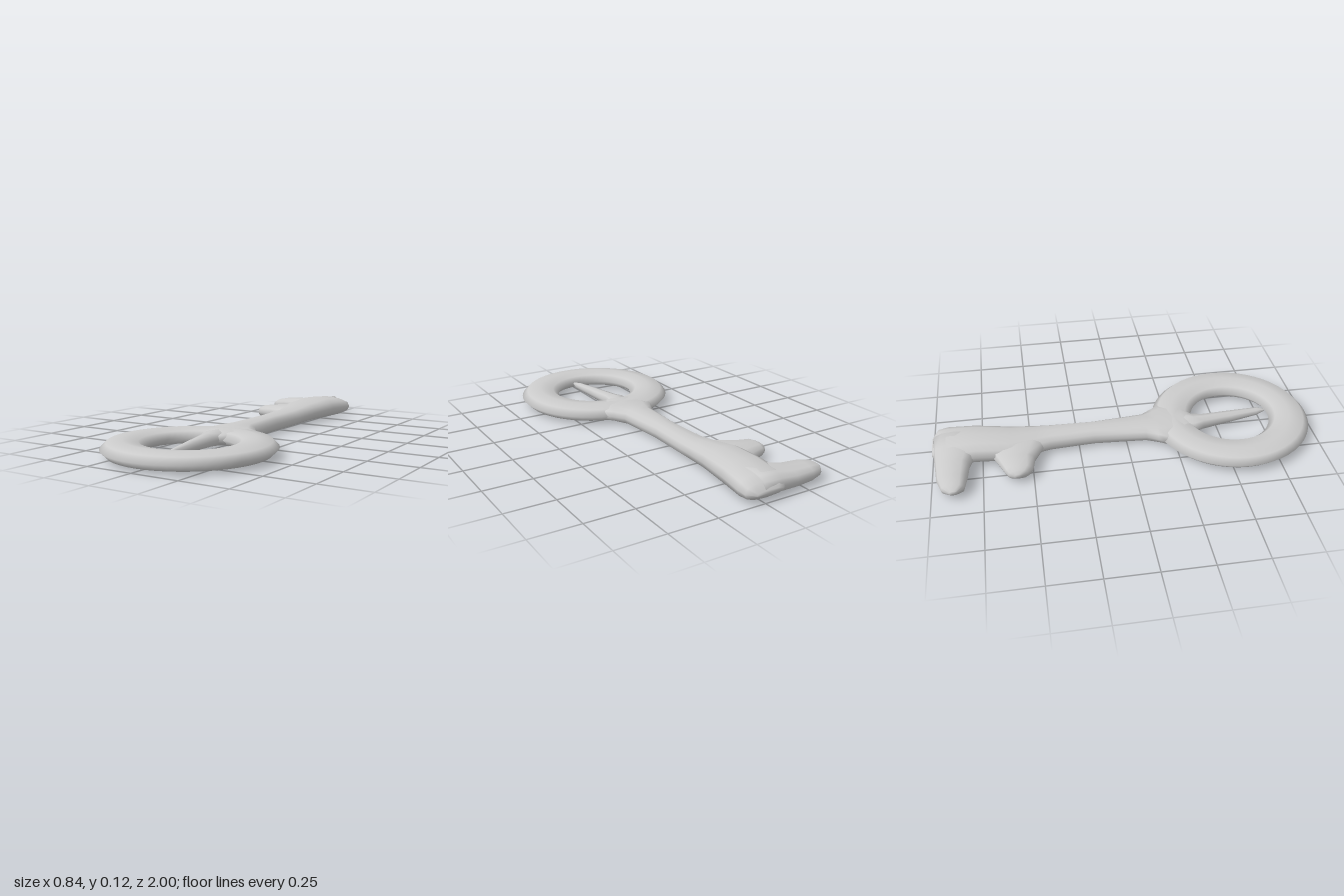
import * as THREE from 'three';

const material = new THREE.MeshStandardMaterial({ color: 0xcccccc });

// Lofts rounded cross-sections [z, xMin, xMax, yMin, yMax], listed from +z to -z, with closed ends.
function loft(sections, sides = 12) {
  const positions = [], index = [];
  const round = (v) => Math.sign(v) * Math.pow(Math.abs(v), 0.8);
  for (const [z, x0, x1, y0, y1] of sections) {
    for (let j = 0; j < sides; j++) {
      const a = (j / sides) * Math.PI * 2;
      positions.push(
        (x0 + x1) / 2 + ((x1 - x0) / 2) * round(Math.cos(a)),
        (y0 + y1) / 2 + ((y1 - y0) / 2) * round(Math.sin(a)),
        z
      );
    }
  }
  const last = (sections.length - 1) * sides;
  for (const [z, x0, x1, y0, y1] of [sections[0], sections[sections.length - 1]]) {
    positions.push((x0 + x1) / 2, (y0 + y1) / 2, z);
  }
  const startCentre = last + sides, endCentre = startCentre + 1;
  for (let j = 0; j < sides; j++) {
    const k = (j + 1) % sides;
    for (let i = 0; i < last; i += sides) {
      index.push(i + j, i + sides + j, i + k, i + k, i + sides + j, i + sides + k);
    }
    index.push(startCentre, j, k, endCentre, last + k, last + j);
  }
  const geometry = new THREE.BufferGeometry();
  geometry.setAttribute('position', new THREE.Float32BufferAttribute(positions, 3));
  geometry.setIndex(index);
  geometry.computeVertexNormals();
  return geometry;
}

// Tooth sections are [x, zMin, zMax, yMin, yMax], running towards -x.
function tooth(sections) {
  return loft(sections.map(([x, z0, z1, y0, y1]) => [x, -z1, -z0, y0, y1])).rotateY(Math.PI / 2);
}

export function createModel() {
  const key = new THREE.Group();
  key.name = 'key';
  const add = (name, geometry) => {
    const mesh = new THREE.Mesh(geometry, material);
    mesh.name = name;
    key.add(mesh);
  };

  // Flattened ring handle
  const ring = new THREE.TorusGeometry(0.315, 0.105, 8, 48);
  ring.rotateX(Math.PI / 2).scale(1, 0.044 / 0.105, 1).translate(-0.003, 0.044, 0.575);
  ring.computeVertexNormals();
  // Share normals over the torus seams
  const p = ring.attributes.position, n = ring.attributes.normal;
  for (let i = 0; i < p.count; i++) {
    const x = p.getX(i) + 0.003, z = p.getZ(i) - 0.575, r = Math.hypot(x, z);
    const v = new THREE.Vector3((x / r) * (r - 0.315) / 0.011, (p.getY(i) - 0.044) / 0.00194, (z / r) * (r - 0.315) / 0.011);
    v.normalize();
    n.setXYZ(i, v.x, v.y, v.z);
  }
  add('ringHandle', ring);

  // Shank flaring into the ring and widening into the bit
  add('shank', loft([
    [0.38, -0.07, 0.03, 0.02, 0.07],
    [0.31, -0.13, 0.11, 0.003, 0.087],
    [0.2, -0.17, 0.145, 0.003, 0.088],
    [0.16, -0.145, 0.11, 0.002, 0.089],
    [0.1, -0.113, 0.066, 0, 0.09],
    [-0.17, -0.095, 0.038, 0, 0.092],
    [-0.4, -0.112, 0.042, 0, 0.094],
    [-0.48, -0.135, 0.045, 0, 0.098],
    [-0.6, -0.175, 0.053, 0, 0.108],
    [-0.78, -0.165, 0.077, 0, 0.121],
    [-0.92, -0.165, 0.095, 0, 0.112],
    [-0.97, -0.15, 0.092, 0.01, 0.095],
    [-1, -0.1, 0.05, 0.035, 0.06],
  ]));

  // Thin spike crossing the ring opening
  add('spike', loft([
    [0.778, 0.022, 0.034, 0.038, 0.052],
    [0.73, 0.002, 0.044, 0.026, 0.064],
    [0.58, -0.03, 0.032, 0.018, 0.072],
    [0.42, -0.062, 0.018, 0.01, 0.08],
    [0.37, -0.085, 0.03, 0.007, 0.084],
    [0.28, -0.1, 0.06, 0.005, 0.086],
  ], 8));

  // Two teeth on the bit
  add('endTooth', tooth([
    [0, -0.998, -0.77, 0.004, 0.117],
    [-0.1, -0.992, -0.77, 0.002, 0.109],
    [-0.2, -0.982, -0.81, 0, 0.092],
    [-0.3, -0.972, -0.822, 0.004, 0.087],
    [-0.365, -0.95, -0.835, 0.012, 0.074],
    [-0.395, -0.91, -0.87, 0.032, 0.055],
  ]));
  add('innerTooth', tooth([
    [-0.04, -0.74, -0.42, 0.003, 0.1],
    [-0.11, -0.72, -0.43, 0.002, 0.098],
    [-0.2, -0.675, -0.485, 0, 0.089],
    [-0.28, -0.64, -0.5, 0.01, 0.08],
    [-0.305, -0.625, -0.525, 0.018, 0.07],
    [-0.32, -0.595, -0.56, 0.033, 0.055],
  ]));
  return key;
}
